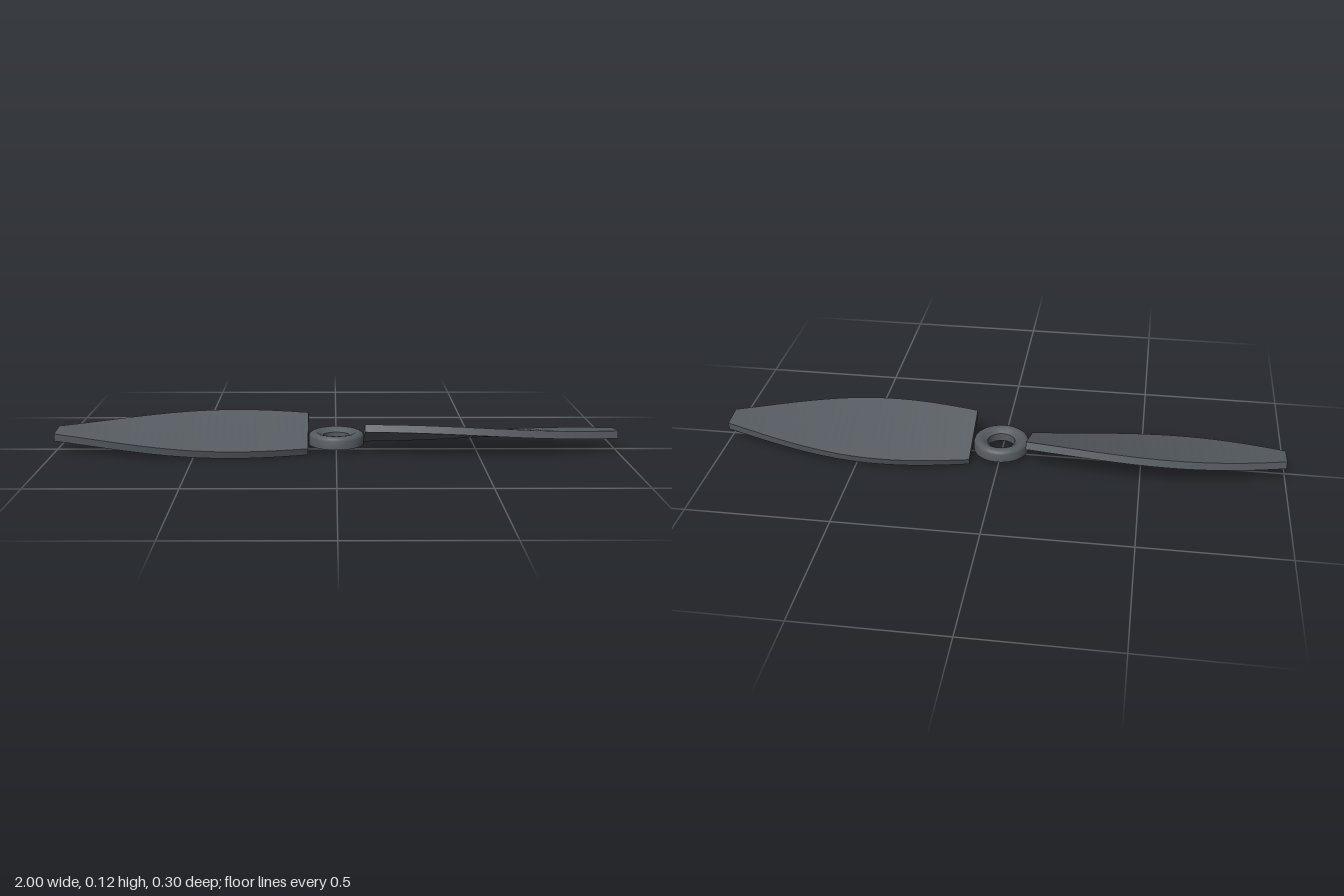
import * as THREE from 'three';
import { toCreasedNormals } from 'three/addons/utils/BufferGeometryUtils.js';

const MID = 0.054, THICK = 0.027, ROOT = 0.1, TIP = 1, STEPS = 32;

// Twisted blade: a rotated rectangular section swept along x
function bladeGeometry() {
  const pos = [], index = [];
  const corners = [[1, 1], [1, -1], [-1, -1], [-1, 1]];
  for (let i = 0; i <= STEPS; i++) {
    const t = i / STEPS;
    const x = THREE.MathUtils.lerp(ROOT, TIP, t);
    const half = THREE.MathUtils.lerp(0.11, 0.043, t) + 0.07 * Math.sin(Math.PI * t);
    const twist = THREE.MathUtils.degToRad(THREE.MathUtils.lerp(22.5, 6, t));
    const c = Math.cos(twist), s = Math.sin(twist);
    for (const [a, b] of corners) {
      const u = a * half, v = b * THICK / 2;
      pos.push(x, MID + u * s + v * c, u * c - v * s);
    }
  }
  for (let i = 0; i < STEPS; i++) {
    for (let k = 0; k < 4; k++) {
      const a = i * 4 + k, b = i * 4 + (k + 1) % 4;
      index.push(a, b, b + 4, a, b + 4, a + 4);
    }
  }
  // root and tip caps
  const e = STEPS * 4;
  index.push(0, 2, 1, 0, 3, 2, e, e + 1, e + 2, e, e + 2, e + 3);
  const geo = new THREE.BufferGeometry();
  geo.setAttribute('position', new THREE.Float32BufferAttribute(pos, 3));
  geo.setIndex(index);
  const flat = geo.toNonIndexed();
  flat.computeVertexNormals();
  return flat;
}

export function createModel() {
  const group = new THREE.Group();
  group.name = 'propeller';
  const bladeMat = new THREE.MeshStandardMaterial({ color: 0x555b60, flatShading: true });
  const hubMat = new THREE.MeshStandardMaterial({ color: 0x555b60 });

  // Two blades, half a turn apart
  const geo = bladeGeometry();
  ['leftBlade', 'rightBlade'].forEach((name, i) => {
    const blade = new THREE.Mesh(geo, bladeMat);
    blade.name = name;
    blade.rotation.y = i * Math.PI;
    group.add(blade);
  });

  // Hub ring: flat below, rounded rim and countersunk bore above
  const profile = [
    [0.049, 0.017], [0.098, 0.017], [0.098, 0.047], [0.095, 0.054], [0.088, 0.059],
    [0.08, 0.061], [0.07, 0.06], [0.062, 0.055], [0.054, 0.049], [0.049, 0.046], [0.049, 0.017],
  ].map(([r, y]) => new THREE.Vector2(r, y));
  const hub = new THREE.Mesh(toCreasedNormals(new THREE.LatheGeometry(profile, 48), 0.6), hubMat);
  hub.name = 'hub';
  group.add(hub);

  return group;
}
